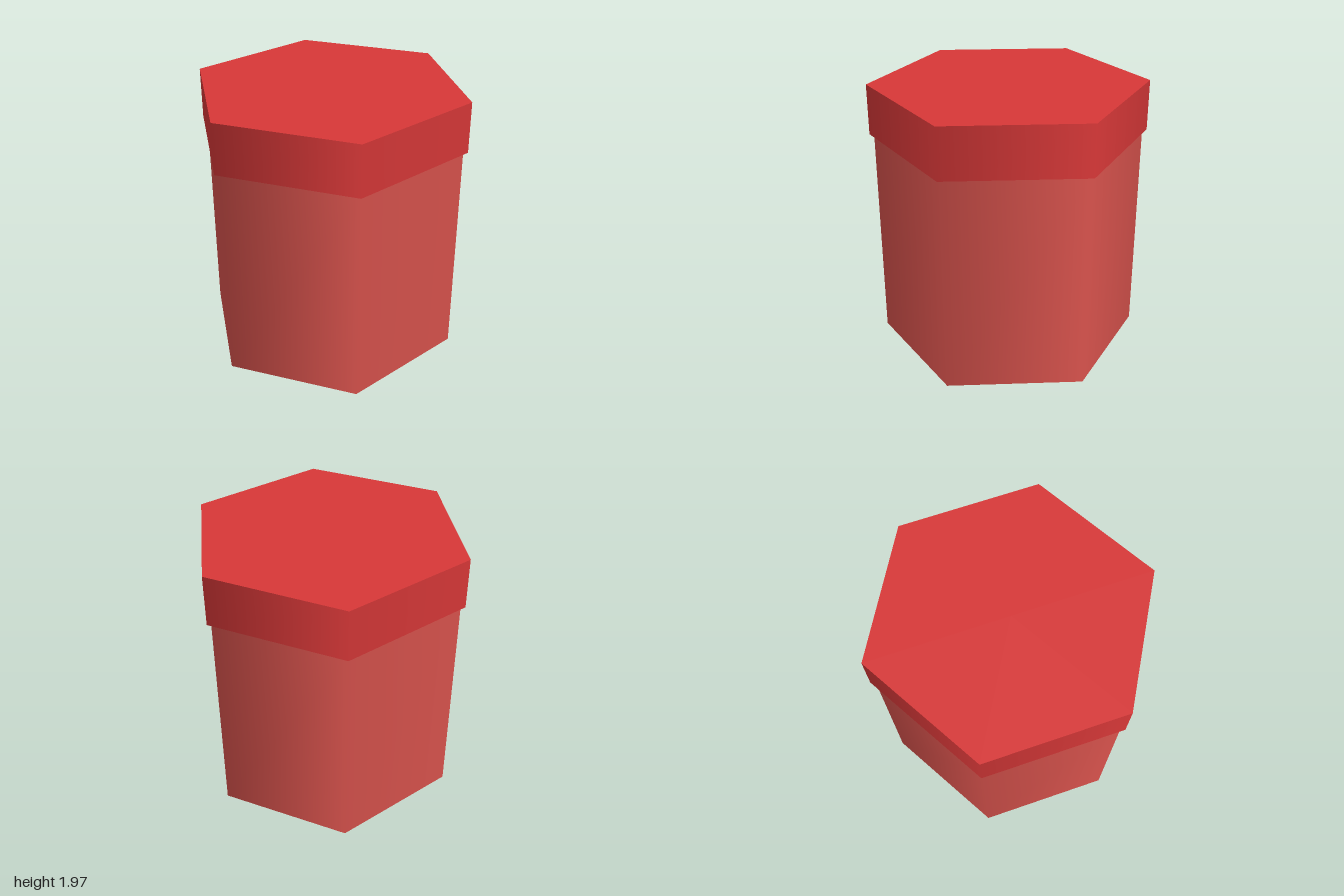
import * as THREE from 'three';

const SIDES = 6;

// Smooth-shaded hexagonal prism with corners on the x axis
function hexPrism(name, radius, bottom, top, material) {
  const geometry = new THREE.CylinderGeometry(radius, radius, top - bottom, SIDES, 1, false, Math.PI / 6);
  const mesh = new THREE.Mesh(geometry, material);
  mesh.name = name;
  mesh.position.y = (bottom + top) / 2;
  return mesh;
}

export function createModel() {
  const bodyRed = new THREE.MeshStandardMaterial({ color: 0xd9534d });
  bodyRed.name = 'body red';
  const lidRed = new THREE.MeshStandardMaterial({ color: 0xd83838 });
  lidRed.name = 'lid red';

  const box = new THREE.Group();
  box.name = 'hexagonalBox';
  box.add(
    hexPrism('body', 0.967, 0, 1.6, bodyRed),
    hexPrism('lid', 1, 1.6, 1.97, lidRed), // overhangs the body slightly
  );
  return box;
}
